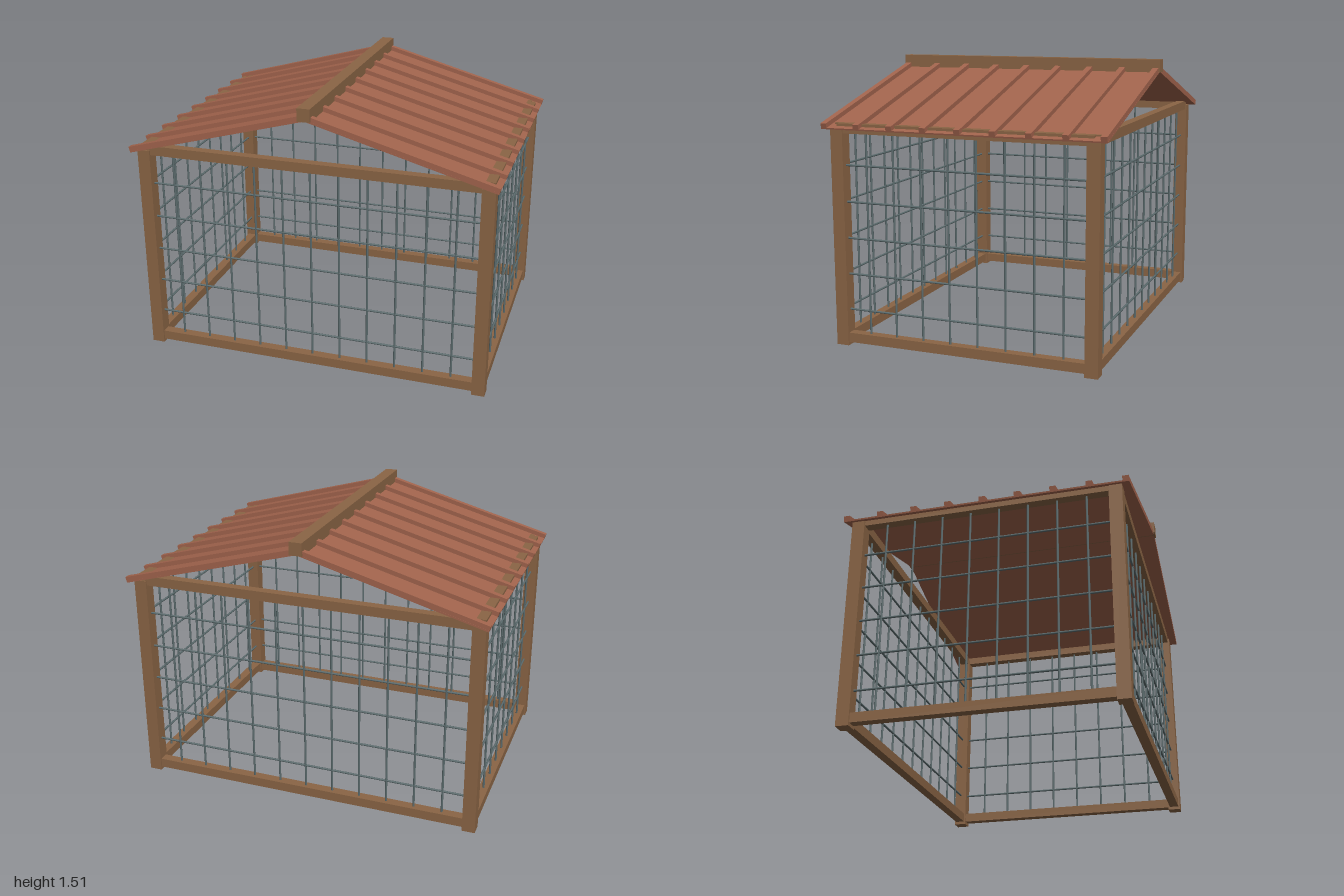
import * as THREE from 'three';

const wood = new THREE.MeshStandardMaterial({ name: 'timber brown', color: 0x8b6545 });
const tile = new THREE.MeshStandardMaterial({ name: 'roof red', color: 0xa2644d });
const steel = new THREE.MeshStandardMaterial({ name: 'wire grey', color: 0x5c6c6e });

const PX = 0.935, PZ = 0.7;          // post centres
const TOP = 1.174, BOTTOM = 0.043;   // rail centre heights
const RAIL = 0.052;

function box(parent, name, mat, size, pos) {
  const mesh = new THREE.Mesh(new THREE.BoxGeometry(...size), mat);
  mesh.name = name;
  mesh.position.set(...pos);
  parent.add(mesh);
}

function wire(parent, name, length, pos, horizontal) {
  const mesh = new THREE.Mesh(new THREE.CylinderGeometry(0.006, 0.006, length, 8), steel);
  mesh.name = name;
  mesh.position.set(...pos);
  if (horizontal) mesh.rotation.z = Math.PI / 2;
  parent.add(mesh);
}

// One wall lying in the XY plane: two rails and a wire grid
function wall(name, halfWidth, divisions) {
  const g = new THREE.Group();
  g.name = name;
  const w = halfWidth * 2;
  box(g, 'topRail', wood, [w, RAIL, RAIL], [0, TOP, 0]);
  box(g, 'bottomRail', wood, [w, RAIL, RAIL], [0, BOTTOM, 0]);
  for (let i = 1; i < divisions; i++) {
    const x = -halfWidth + (w * i) / divisions;
    wire(g, 'uprightWire', TOP - BOTTOM, [x, (TOP + BOTTOM) / 2, 0], false);
  }
  for (let i = 1; i < 6; i++) wire(g, 'crossWire', w, [0, (TOP * i) / 6, 0], true);
  return g;
}

// One roof slope, falling from the ridge towards +x
function roofSlope(name) {
  const g = new THREE.Group();
  g.name = name;
  const length = 1.027;
  box(g, 'roofPanel', tile, [length, 0.008, 1.55], [length / 2, 0.004, 0]);
  for (let i = -4; i <= 4; i++) {
    box(g, 'roofBatten', tile, [length, 0.026, 0.033], [length / 2, 0.019, i * 0.1895]);
  }
  g.rotation.z = -Math.atan(0.274);
  const side = new THREE.Group();
  side.add(g);
  side.position.y = 1.441;
  return side;
}

export function createModel() {
  const model = new THREE.Group();
  model.name = 'wirePen';

  // Corner posts
  for (const sx of [-1, 1]) {
    for (const sz of [-1, 1]) {
      box(model, 'cornerPost', wood, [0.07, TOP, 0.07], [sx * PX, TOP / 2, sz * PZ]);
    }
  }

  // Walls
  for (const s of [-1, 1]) {
    const long = wall(s > 0 ? 'frontWall' : 'backWall', PX, 12);
    long.position.z = s * PZ;
    const short = wall(s > 0 ? 'leftWall' : 'rightWall', PZ, 9);
    short.rotation.y = Math.PI / 2;
    short.position.x = s * PX;
    model.add(long, short);
  }

  // Roof
  const left = roofSlope('leftRoof');
  const right = roofSlope('rightRoof');
  right.rotation.y = Math.PI;
  model.add(left, right);
  box(model, 'ridgeBeam', wood, [0.07, 0.07, 1.566], [0, 1.475, 0]);

  return model;
}
